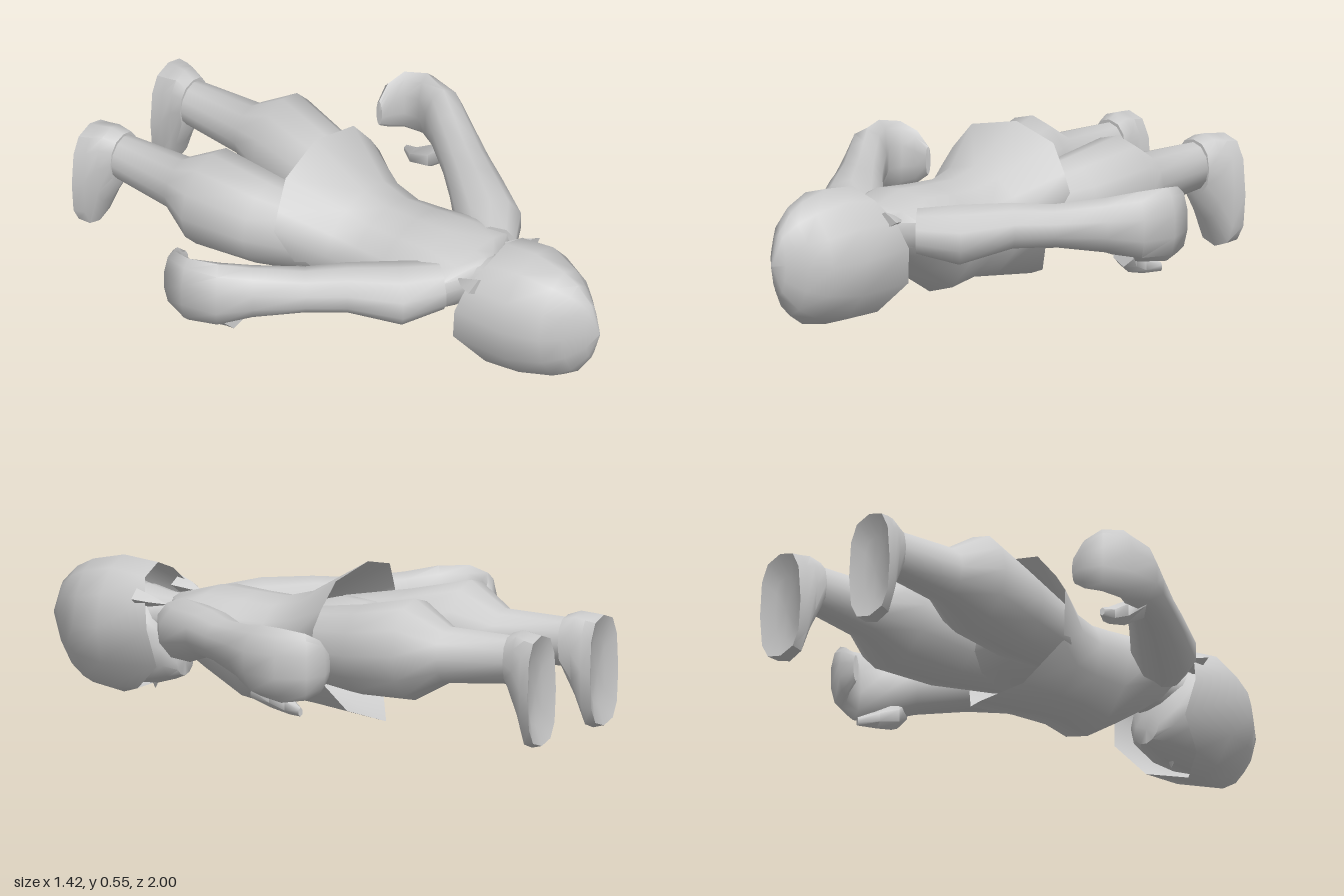
import * as THREE from 'three';
import { toCreasedNormals } from 'three/addons/utils/BufferGeometryUtils.js';

const V = (x, y, z) => new THREE.Vector3(x, y, z);
const material = new THREE.MeshStandardMaterial({ color: 0xcccccc, side: THREE.DoubleSide });
const power = (v, e) => Math.sign(v) * Math.abs(v) ** e;

// Cross-section facing along z: half width w about cx, separate top and bottom, widest at mid.
// An exponent e below 1 makes it squarer.
function ring(z, cx, w, top, bot, mid = (top + bot) / 2, e = 1, n = 12) {
  return Array.from({ length: n }, (_, j) => {
    const a = (j / n) * Math.PI * 2, c = power(Math.cos(a), e);
    return V(cx + w * power(Math.sin(a), e), mid + (c > 0 ? top - mid : mid - bot) * c, z);
  });
}

// Full ring from the points of its left half, listed from top to bottom
function mirroredRing(half) {
  const other = half.slice(1, -1).reverse().map(([x, y, z]) => [-x, y, z]);
  return [...half, ...other].map((p) => V(...p));
}

// Cross-sections along a path in the horizontal plane: [x, y, z, half width, half height]
function sweepRings(path, n = 10) {
  return path.map(([x, y, z, w, h], i) => {
    const a = path[Math.max(i - 1, 0)], b = path[Math.min(i + 1, path.length - 1)];
    const t = V(b[0] - a[0], 0, b[2] - a[2]).normalize();
    return Array.from({ length: n }, (_, j) => {
      const r = (j / n) * Math.PI * 2, s = w * Math.sin(r);
      return V(x - t.z * s, y + h * Math.cos(r), z + t.x * s);
    });
  });
}

const flip = (rings) => rings.map((r) => r.map((p) => V(-p.x, p.y, p.z)).reverse());

// Skin joining the rings, capped at the start and optionally at the end
function loft(name, rings, { end = true, crease = 1.0 } = {}) {
  const n = rings[0].length, pts = rings.flat(), index = [];
  for (let i = 0; i < rings.length - 1; i++) {
    for (let j = 0; j < n; j++) {
      const k = (j + 1) % n, a = i * n + j, b = i * n + k, c = a + n, d = b + n;
      index.push(a, b, c, b, d, c);
    }
  }
  const cap = (row, isStart) => {
    const centre = V(0, 0, 0);
    rings[row].forEach((p) => centre.addScaledVector(p, 1 / n));
    const m = pts.push(centre) - 1;
    for (let j = 0; j < n; j++) {
      const a = row * n + j, b = row * n + ((j + 1) % n);
      index.push(m, isStart ? b : a, isStart ? a : b);
    }
  };
  cap(0, true);
  if (end) cap(rings.length - 1, false);
  const g = new THREE.BufferGeometry().setFromPoints(pts);
  g.setIndex(index);
  const mesh = new THREE.Mesh(toCreasedNormals(g, crease), material);
  mesh.name = name;
  return mesh;
}

export function createModel() {
  const model = new THREE.Group();
  model.name = 'proneFigure';
  const pair = (name, rings, options) =>
    model.add(loft('left' + name, rings, options), loft('right' + name, flip(rings), options));

  // Tunic, flaring to a pointed hem at front and back
  const hem = mirroredRing([
    [0, 0.55, -0.21], [0.19, 0.51, -0.19], [0.26, 0.42, -0.17], [0.295, 0.36, -0.16],
    [0.235, 0.21, -0.11], [0.13, 0.055, -0.2], [0, 0.005, -0.28],
  ]);
  model.add(loft('tunic', [
    ring(0.54, 0, 0.04, 0.37, 0.27),
    ring(0.51, 0, 0.1, 0.38, 0.24),
    ring(0.47, 0, 0.215, 0.39, 0.21, 0.32),
    ring(0.36, 0, 0.22, 0.42, 0.13, 0.31),
    ring(0.22, 0, 0.21, 0.41, 0.035, 0.28),
    ring(0.1, 0, 0.2, 0.405, 0.055, 0.27),
    ring(0, 0, 0.215, 0.43, 0.045, 0.28),
    hem,
  ], { end: false }));

  // Pelvis under the tunic
  model.add(loft('pelvis', [
    ring(0.06, 0, 0.17, 0.38, 0.14),
    ring(-0.1, 0, 0.22, 0.42, 0.13),
    ring(-0.2, 0, 0.23, 0.41, 0.15),
    ring(-0.27, 0, 0.12, 0.33, 0.2),
  ]));

  // Legs: full thighs narrowing below the knee
  pair('Leg', [
    ring(-0.05, 0.12, 0.11, 0.4, 0.15),
    ring(-0.28, 0.165, 0.148, 0.435, 0.125),
    ring(-0.5, 0.198, 0.168, 0.48, 0.13),
    ring(-0.63, 0.195, 0.095, 0.395, 0.2),
    ring(-0.89, 0.195, 0.068, 0.385, 0.22),
  ]);

  // Boots with squared toes pointing down and a hollowed sole
  pair('Foot', [
    ring(-0.875, 0.195, 0.074, 0.395, 0.205, 0.3, 0.85),
    ring(-0.92, 0.205, 0.082, 0.41, 0.11, 0.28, 0.8),
    ring(-0.96, 0.215, 0.092, 0.405, 0.01, 0.22, 0.7),
    ring(-1, 0.22, 0.1, 0.4, 0.02, 0.2, 0.7),
    ring(-0.975, 0.22, 0.05, 0.32, 0.09, 0.2, 0.7),
  ], { crease: 0.8 });

  // Arms spread outward and back, ending in hands curled like mittens
  pair('Arm', sweepRings([
    [0.14, 0.31, 0.43, 0.09, 0.08],
    [0.25, 0.3, 0.34, 0.115, 0.105],
    [0.36, 0.325, 0.2, 0.095, 0.08],
    [0.45, 0.32, 0.09, 0.083, 0.075],
    [0.56, 0.315, -0.05, 0.075, 0.095],
    [0.63, 0.305, -0.14, 0.073, 0.122],
    [0.668, 0.302, -0.24, 0.045, 0.128],
    [0.645, 0.3, -0.32, 0.035, 0.115],
    [0.59, 0.295, -0.347, 0.026, 0.09],
    [0.54, 0.29, -0.347, 0.012, 0.05],
  ]));
  pair('Thumb', sweepRings([
    [0.61, 0.23, -0.09, 0.04, 0.06],
    [0.575, 0.18, -0.15, 0.038, 0.045],
    [0.575, 0.15, -0.22, 0.028, 0.032],
    [0.605, 0.135, -0.28, 0.01, 0.015],
  ], 6));

  // Neck
  model.add(loft('neck', [
    ring(0.64, 0, 0.12, 0.4, 0.2),
    ring(0.56, 0, 0.1, 0.38, 0.22),
    ring(0.45, 0, 0.1, 0.37, 0.22),
  ]));

  // Face and jaw set inside the hair
  model.add(loft('face', [
    ring(0.84, 0, 0.12, 0.38, 0.08),
    ring(0.7, 0, 0.165, 0.41, 0.055, 0.27),
    ring(0.6, 0, 0.16, 0.38, 0.06, 0.25),
    ring(0.53, 0, 0.115, 0.3, 0.08, 0.2),
    ring(0.495, 0, 0.06, 0.2, 0.095),
  ]));
  const nose = new THREE.Mesh(new THREE.ConeGeometry(0.03, 0.06, 4), material);
  nose.name = 'nose';
  nose.rotation.x = Math.PI;
  nose.position.set(0, 0.07, 0.61);
  model.add(nose);

  // Hair: a pointed shell with a ragged rim, cut back over the brow
  const rim = mirroredRing([
    [0, 0.475, 0.6], [0.1, 0.44, 0.595], [0.165, 0.37, 0.56], [0.2, 0.28, 0.535],
    [0.175, 0.15, 0.51], [0.125, 0.06, 0.61], [0, 0.03, 0.69],
  ]);
  model.add(loft('hair', [
    ring(1, 0, 0.004, 0.275, 0.265),
    ring(0.965, 0, 0.033, 0.38, 0.16),
    ring(0.91, 0, 0.09, 0.435, 0.08, 0.26, 1.1),
    ring(0.85, 0, 0.145, 0.465, 0.04, 0.26, 1.1),
    ring(0.73, 0, 0.195, 0.49, 0.018, 0.27),
    rim,
  ], { end: false }));

  // Small locks at the nape
  pair('Lock', sweepRings([
    [0.15, 0.38, 0.6, 0.05, 0.03],
    [0.145, 0.37, 0.55, 0.03, 0.02],
    [0.13, 0.36, 0.5, 0.003, 0.003],
  ], 4));

  return model;
}
